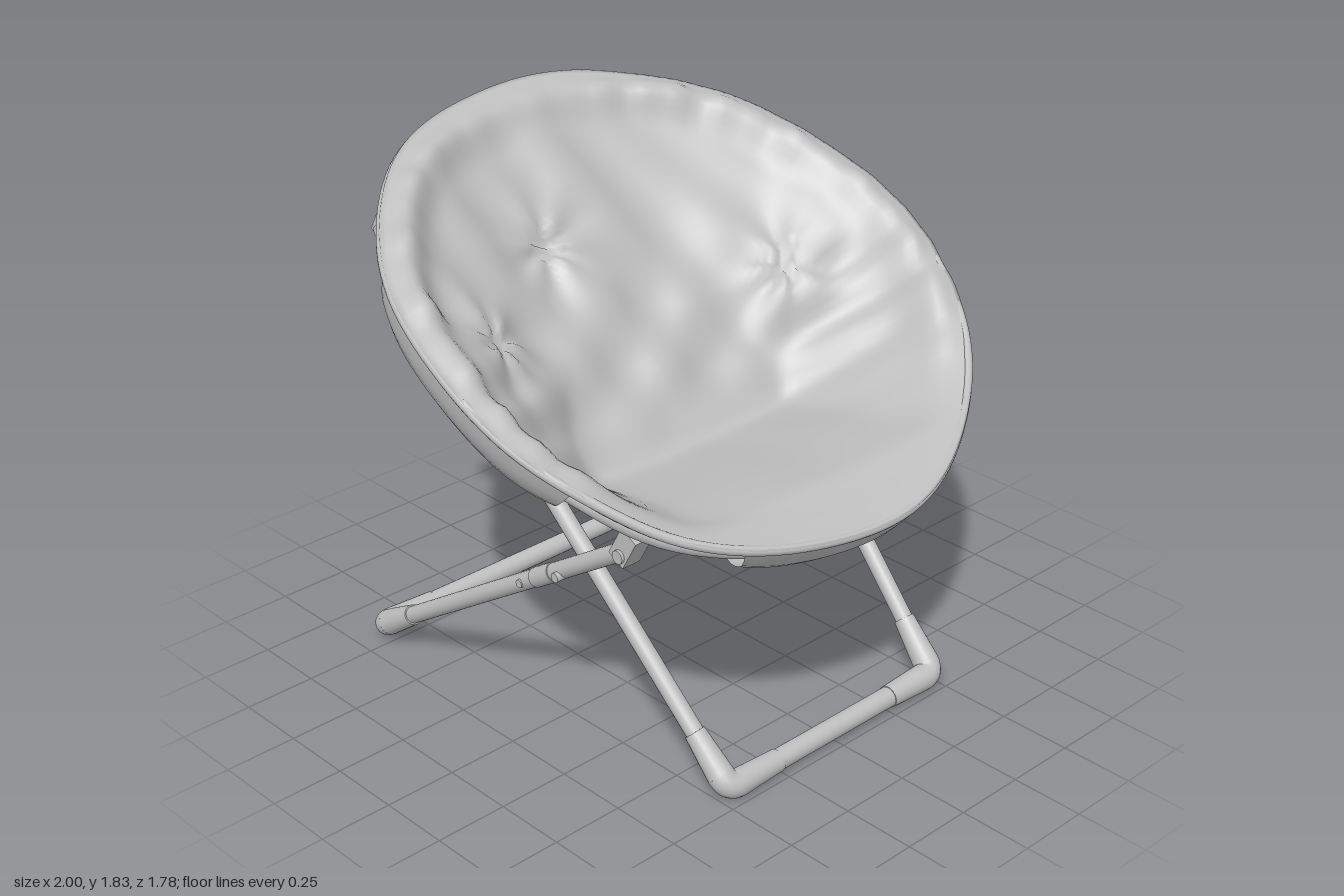
import * as THREE from 'three';

const grey = new THREE.MeshStandardMaterial({ color: 0xbfbfbf, side: THREE.DoubleSide });
grey.name = 'light grey';
const V = (x, y, z) => new THREE.Vector3(x, y, z);
const step = THREE.MathUtils.smoothstep;

function add(parent, name, geo) {
  const m = new THREE.Mesh(geo, grey);
  m.name = name;
  parent.add(m);
  return m;
}

// Smooth surface from rows of points; fn(i, j) gives the point, wrap closes each row
function surface(rows, cols, fn, wrap) {
  const pos = [], idx = [], n = wrap ? cols : cols + 1;
  for (let i = 0; i <= rows; i++) for (let j = 0; j < n; j++) pos.push(...fn(i, j));
  for (let i = 0; i < rows; i++) for (let j = 0; j < cols; j++) {
    const k = (j + 1) % n, a = i * n + j, b = i * n + k, c = a + n, d = b + n;
    idx.push(a, c, d, a, d, b);
  }
  const g = new THREE.BufferGeometry();
  g.setAttribute('position', new THREE.Float32BufferAttribute(pos, 3));
  g.setIndex(idx);
  g.computeVertexNormals();
  return g;
}

const smax = (a, b) => 0.5 * (a + b + Math.sqrt((a - b) ** 2 + 0.0009));
const gauss = (d2, w) => Math.exp(-d2 / (w * w));

// Gentle saddle of the rim: raised sides, dip near the front
const lift = (r, v) => r * r * (0.05 * (1 - v * v) - 0.028 * gauss((v - 0.75) ** 2, 0.17));
const rimRadius = (t) => 0.993 + 0.008 * Math.cos(t) + 0.003 * Math.sin(5 * t + 1) + 0.004 * Math.sin(9 * t);

// Fabric folds, buttoned dimples and the puffed roll beside the rim
function folds(u, v, r) {
  const fade = step(1 - r, 0.04, 0.25);
  const back = 1 - step(v, 0.05, 0.3);
  let h = back * fade * (0.011 * Math.sin(13 * u + 8 * v + 2 * Math.sin(5 * v))
    + 0.008 * Math.sin(23 * u - 9 * v + 1));
  for (const [x, z] of [[-0.17, -0.44], [-0.61, -0.14], [0.6, -0.05]]) {
    const d2 = (u - x) ** 2 + (v - z) ** 2;
    h -= 0.03 * gauss(d2, 0.06);
    h += 0.012 * gauss(d2, 0.2) * Math.sin(6 * Math.atan2(v - z, u - x));
  }
  for (const s of [-1, 1]) {
    h += 0.018 * gauss((u - s * 0.68) ** 2 + (v - 0.2) ** 2, 0.22) * Math.sin(34 * v - s * 12 * u);
  }
  const sides = step(v, -0.98, -0.75) * (1 - step(v, 0.35, 0.65));
  const t = Math.atan2(u, v);
  const puff = 0.012 + sides * (0.045 + 0.008 * Math.sin(23 * t) + 0.006 * Math.sin(41 * t + 1));
  return h + puff * gauss((r - 0.91) ** 2, 0.065);
}

// Padded upper face: leaning back, seat with a raised front lip, and sides
function topHeight(u, v, r) {
  const w = v + 0.95;
  const back = Math.min(0, -0.28 * w - 0.05 * w * w);
  const seat = -smax(0.03, 0.045 - 0.86 * (v - 0.75));
  const k = 0.48 + 0.67 * step(v, -0.1, 0.4);
  return smax(smax(back, seat), -k * (1 - r) ** 1.3) + folds(u, v, r);
}

// Underside: a deeper, plainer trough that passes between the legs
function underHeight(u, v, r) {
  const bow = 0.3 * u * u;
  const back = Math.min(-0.03, -0.055 - 0.53 * (v + 0.95) + bow);
  const seat = Math.min(-0.03, -0.655 + 0.93 * (v - 0.157) + bow);
  const side = -0.03 - 1.2 * Math.max(0, 0.93 - r);
  const flank = Math.min(-0.05, -0.33 - 0.32 * v + 3 * (Math.abs(u) - 0.52));
  const h = smax(smax(smax(back, seat), side), flank) + 0.006 * Math.sin(12 * u + 7 * v) * (1 - r);
  return Math.min(h, topHeight(u, v, r) - 0.025);
}

function bowl() {
  const rings = 56;
  return surface(rings * 2 + 1, 160, (i, j) => {
    const t = (j / 160) * Math.PI * 2, top = i <= rings;
    const r = (top ? i : rings * 2 + 1 - i) / rings;
    const u = r * Math.sin(t), v = r * Math.cos(t), R = rimRadius(t);
    return [u * R, (top ? topHeight : underHeight)(u, v, r) + lift(r, v), v * R];
  }, true);
}

// Flap folded under the rim, holding the ring
function pocket(center, half) {
  const profile = new THREE.SplineCurve([[1, 0], [0.985, -0.1], [0.93, -0.18], [0.87, -0.205], [0.8, -0.21]]
    .map((p) => new THREE.Vector2(...p)));
  return surface(12, 28, (i, j) => {
    const q = j / 14 - 1, p = profile.getPoint(i / 12);
    const t = center + half * q * (1 - 0.08 * Math.sin((i / 12) * Math.PI));
    const r = p.x * rimRadius(t);
    const h = p.y * (1 - 0.12 * q ** 4) + 0.006 * Math.sin(9 * t + i * 0.5) * (i / 12);
    return [r * Math.sin(t), h + lift(1, Math.cos(t)), r * Math.cos(t)];
  }, false);
}

// Closed loop following the rim
function rimLoop(name, parent, radiusAt, drop, thickness) {
  const pts = [];
  for (let i = 0; i < 64; i++) {
    const t = (i / 64) * Math.PI * 2, R = radiusAt(t);
    pts.push(V(R * Math.sin(t), lift(1, Math.cos(t)) - drop, R * Math.cos(t)));
  }
  add(parent, name, new THREE.TubeGeometry(new THREE.CatmullRomCurve3(pts, true), 128, thickness, 12, true));
}

// Straight round bar from a to b, optionally tapering
function rod(parent, name, a, b, radius, endRadius = radius) {
  const m = add(parent, name, new THREE.CylinderGeometry(endRadius, radius, a.distanceTo(b), 20));
  m.position.copy(a).lerp(b, 0.5);
  m.quaternion.setFromUnitVectors(V(0, 1, 0), b.clone().sub(a).normalize());
}

const TILT = 0.506;

// U-shaped leg frame: two slanted tubes, floor bar, corner fittings and rim clamps
function legFrame(name, foot, top, fittingX) {
  const g = new THREE.Group();
  g.name = name;
  for (const s of [-1, 1]) {
    const f = V(s * foot.x, foot.y, foot.z), t = V(s * top.x, top.y, top.z);
    const dir = t.clone().sub(f).normalize();
    const along = (d) => f.clone().addScaledVector(dir, d);
    const len = f.distanceTo(t);
    rod(g, 'legTube', along(0.05), t, 0.03);
    rod(g, 'legSleeve', along(len * 0.66), along(len * 0.73), 0.033);
    // Rounded elbow with tapering sockets
    const barSide = V(s * (foot.x - 0.045), f.y, f.z);
    add(g, 'elbow', new THREE.TubeGeometry(new THREE.QuadraticBezierCurve3(barSide, f, along(0.045)), 16, 0.045, 20));
    rod(g, 'legSocket', along(0.045), along(0.2), 0.045, 0.035);
    rod(g, 'barSocket', barSide, V(s * fittingX, f.y, f.z), 0.045, 0.038);
    // Clamp joining the leg to the ring
    const clamp = add(g, 'rimClamp', new THREE.BoxGeometry(0.07, 0.12, 0.07));
    clamp.position.copy(t).add(V(0, 0.022, 0.012));
    clamp.rotation.x = TILT;
    rod(g, 'clampBolt', t.clone().add(V(-0.045, -0.01, 0)), t.clone().add(V(0.045, -0.01, 0)), 0.022);
    const b = along(len * 0.62);
    rod(g, 'sleeveBolt', b.clone().add(V(-0.034, 0, 0)), b.clone().add(V(0.034, 0, 0)), 0.014);
  }
  rod(g, 'floorBar', V(-foot.x + 0.04, foot.y, foot.z), V(foot.x - 0.04, foot.y, foot.z), 0.035);
  return g;
}

export function createModel() {
  const model = new THREE.Group();
  model.name = 'foldingBowlChair';

  // Tilted seat assembly
  const seat = new THREE.Group();
  seat.name = 'seat';
  seat.position.y = 1.34;
  seat.rotation.x = TILT;
  model.add(seat);
  add(seat, 'paddedBowl', bowl());
  rimLoop('rimRing', seat, () => 0.93, 0.085, 0.028);
  rimLoop('rimPiping', seat, (t) => rimRadius(t) - 0.01, 0.008, 0.016);
  add(seat, 'frontPocket', pocket(0, 0.5));
  add(seat, 'backPocket', pocket(Math.PI, 0.56));
  for (const s of [-1, 1]) add(seat, 'sidePocket', pocket(s * 1.52, 0.48));

  // Crossed leg frames
  model.add(legFrame('frontFootFrame', V(0.475, 0.046, 0.705), V(0.595, 1.53, -0.715), 0.26));
  model.add(legFrame('backFootFrame', V(0.65, 0.046, -0.8), V(0.632, 0.84, 0.43), 0.44));

  // Pivot pins where the frames cross
  for (const s of [-1, 1]) rod(model, 'pivotPin', V(s * 0.49, 0.64, 0.145), V(s * 0.68, 0.64, 0.145), 0.016);
  return model;
}
